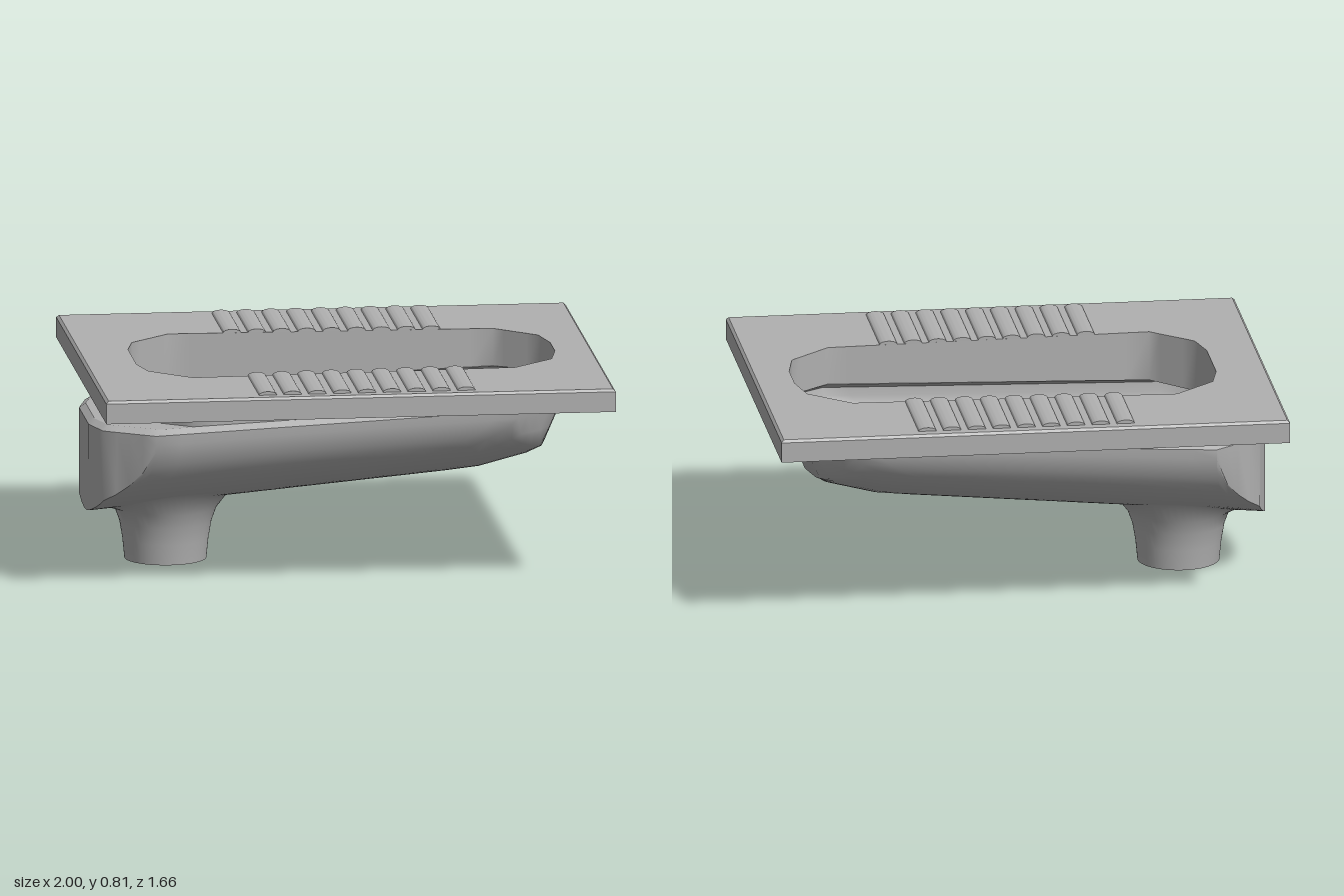
import * as THREE from 'three';
import { toCreasedNormals } from 'three/addons/utils/BufferGeometryUtils.js';

const lerp = THREE.MathUtils.lerp;
const DRAIN_X = -0.67;

// Half outlines in plan as [x, z], from the shallow end to the drain end.
const OPENING = [[0.85, 0.08], [0.82, 0.225], [0.66, 0.37], [-0.61, 0.415], [-0.77, 0.27], [-0.8, 0.14]];
const RIM = [[0.89, 0.09], [0.85, 0.26], [0.68, 0.39], [-0.76, 0.46], [-0.95, 0.3], [-0.99, 0.16]];

const mirrorOutline = (half) => [...half, ...half.map(([x, z]) => [x, -z]).reverse()];

// Closed outline with its edges subdivided, the long sides more finely.
function subdivide(half) {
  const pts = mirrorOutline(half);
  const out = [];
  pts.forEach(([x, z], i) => {
    const [nx, nz] = pts[(i + 1) % pts.length];
    const n = i === 2 || i === 8 ? 14 : 4;
    for (let k = 0; k < n; k++) out.push([lerp(x, nx, k / n), lerp(z, nz, k / n)]);
  });
  return out;
}

// Skin a list of closed rings of [x, y, z].
function loft(rings, crease = 0.8) {
  const n = rings[0].length;
  const index = [];
  for (let r = 0; r < rings.length - 1; r++) {
    for (let i = 0; i < n; i++) {
      const a = r * n + i, b = r * n + (i + 1) % n;
      index.push(a, b, a + n, b, b + n, a + n);
    }
  }
  const g = new THREE.BufferGeometry();
  g.setAttribute('position', new THREE.Float32BufferAttribute(rings.flat(2), 3));
  g.setIndex(index);
  g.computeVertexNormals();
  return toCreasedNormals(g, crease);
}

const rimY = (x) => 0.57 + 0.037 * (x + 0.99);
const flangeY = (x) => 0.59 + 0.038 * (x + 0.96);

// Furthest x of the rim at the shallow end for a given z.
function endX(z) {
  const p = [[0.89, 0], ...RIM.slice(0, 3)];
  for (let i = 0; i < 3; i++) {
    if (z <= p[i + 1][1]) return lerp(p[i][0], p[i + 1][0], (z - p[i][1]) / (p[i + 1][1] - p[i][1]));
  }
  return 0.68 - (z - 0.39) * 20;
}

// Bowl floor: elliptical trough, sloping floor, slanted shallow end.
function bowlY(x, z) {
  const w = 0.46 - 0.0486 * (x + 0.76);
  const floor = 0.26 + 0.088 * (x + 0.38) + Math.max(0, x - 0.53) * 0.18;
  const top = rimY(x);
  const trough = top - (top - floor) * Math.sqrt(Math.max(0, 1 - (z / w) ** 2));
  return Math.min(top, Math.max(trough, top - 2.3 * (endX(Math.abs(z)) - x)));
}

export function createModel() {
  const group = new THREE.Group();
  const ceramic = new THREE.MeshStandardMaterial({ color: 0xb0b0b0, side: THREE.DoubleSide });
  ceramic.name = 'grey ceramic';
  const add = (name, geometry) => {
    const mesh = new THREE.Mesh(geometry, ceramic);
    mesh.name = name;
    group.add(mesh);
    return mesh;
  };

  // Top plate with the opening
  const plate = new THREE.Shape([[-0.99, -0.82], [0.99, -0.82], [0.99, 0.82], [-0.99, 0.82]]
    .map(([x, y]) => new THREE.Vector2(x, y)));
  plate.holes.push(new THREE.Path(mirrorOutline(OPENING).map(([x, z]) => new THREE.Vector2(x, z))));
  add('topPlate', new THREE.ShapeGeometry(plate).rotateX(-Math.PI / 2).translate(0, 0.8, 0));

  // Skirt around the plate with a bevelled top edge
  const rect = (x, y, z) => [[x, y, z], [-x, y, z], [-x, y, -z], [x, y, -z]];
  add('plateSkirt', loft([rect(0.99, 0.8, 0.82), rect(1, 0.79, 0.83), rect(1, 0.71, 0.83)], 0.5));

  // Foot grips: nine low ridges on each side of the opening
  const ridge = new THREE.Shape();
  ridge.absellipse(0, 0, 0.035, 0.014, 0, Math.PI, false);
  for (let i = 0; i < 9; i++) {
    const x = -0.36 + i * 0.0975;
    const start = 0.415 - 0.0354 * (x + 0.61);
    for (const side of [1, -1]) {
      const depth = 0.78 - start;
      const g = new THREE.ExtrudeGeometry(ridge, { depth, bevelEnabled: false, curveSegments: 8 });
      const mesh = add('footGripRidge', toCreasedNormals(g, 0.7));
      mesh.position.set(x, 0.8, side > 0 ? start : -0.78);
    }
  }

  // Wall of the opening
  const inner = subdivide(OPENING);
  const outer = subdivide(RIM);
  const wallFoot = inner.map(([x, z]) => [x, flangeY(x), z]);
  add('openingWall', loft([inner.map(([x, z]) => [x, 0.8, z]), wallFoot]));

  // Flange between wall and bowl, with a bevelled edge
  const rimRing = outer.map(([x, z]) => [x, rimY(x), z]);
  const flangeRing = outer.map(([x, z]) => [x * 0.975, flangeY(x * 0.975), z * 0.93]);
  add('bowlFlange', loft([wallFoot, flangeRing, rimRing], 0.4));

  // Angle on the drain for each rim point, by distance along the rim
  const lengths = outer.map(([x, z], i) => {
    const [nx, nz] = outer[(i + 1) % outer.length];
    return Math.hypot(nx - x, nz - z);
  });
  const total = lengths.reduce((a, b) => a + b, 0);
  let run = RIM[0][1];
  const angles = lengths.map((d) => {
    const a = (run / total) * Math.PI * 2;
    run += d;
    return a;
  });
  const circle = (r) => angles.map((a) => [DRAIN_X + r * Math.cos(a), r * Math.sin(a)]);

  // Bowl running into the flared drain pipe
  const neck = circle(0.24);
  const rings = [rimRing];
  for (const t of [0.99, 0.97, 0.94, 0.89, 0.83, 0.75, 0.65, 0.54, 0.42, 0.3, 0.18, 0.08, 0]) {
    rings.push(outer.map(([x, z], i) => {
      const px = lerp(neck[i][0], x, t), pz = lerp(neck[i][1], z, t);
      return [px, bowlY(px, pz), pz];
    }));
  }
  for (const [r, y] of [[0.2, 0.205], [0.18, 0.15], [0.168, 0.08], [0.16, 0]]) {
    rings.push(circle(r).map(([x, z]) => [x, y, z]));
  }
  add('bowlAndDrainPipe', loft(rings, 0.9));

  // Closed end of the drain pipe
  add('drainEnd', new THREE.CircleGeometry(0.16, 32).rotateX(-Math.PI / 2).translate(DRAIN_X, 0, 0));

  return group;
}
